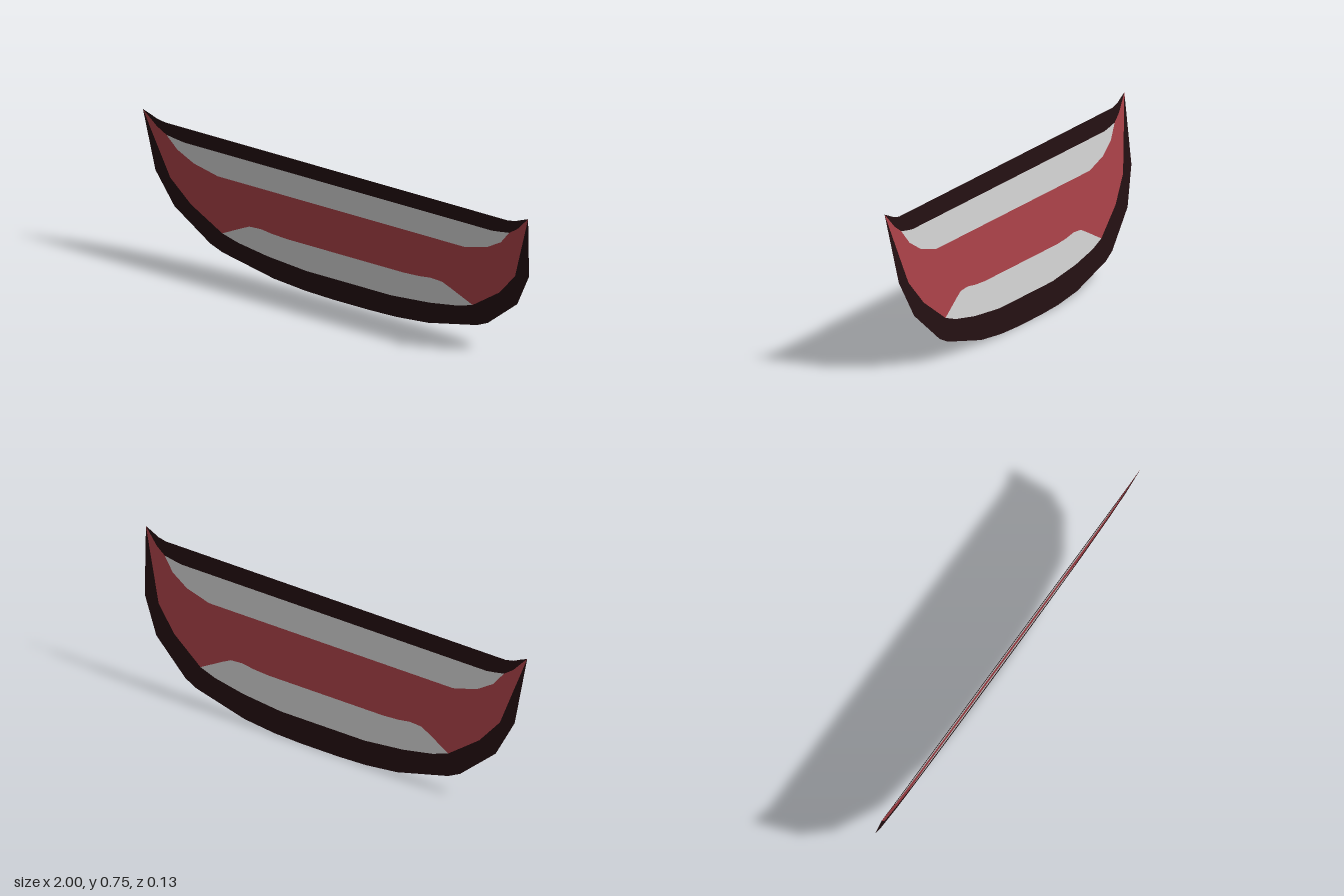
import * as THREE from 'three';

const HEIGHT = 0.75, LEAN = 0.131; // the flat panel leans forward towards the top

// Right-hand edges, each running from the centre line outwards
const tip = [1, 0.75];
const topRim = [[0.89, 0.711], [0.93, 0.719], [0.965, 0.735]];
const topInner = [[0.8, 0.63], [0.84, 0.636], [0.89, 0.645]];
const topInnerTip = [0.935, 0.677];
const upperEdge = [[0.64, 0.497], [0.76, 0.53], [0.84, 0.58]];
const lowerEdge = [[0.3, 0.26], [0.38, 0.265], [0.44, 0.274], [0.5, 0.27], [0.54, 0.25]];
const bottomInner = [[0.22, 0.115], [0.42, 0.135], [0.57, 0.163], [0.65, 0.19]];
const bottomInnerTip = [[0.8, 0.3], [0.895, 0.415]];
const bottomRim = [[0.1, 0], [0.24, 0.005], [0.4, 0.022], [0.66, 0.086], [0.72, 0.115],
  [0.89, 0.265], [0.97, 0.435]];

// Mirrors a right-hand run of points (lower edge outwards, upper edge inwards) into a leaning panel
function panel(name, half, color) {
  const mirrored = half.map(([x, y]) => [-x, y]).reverse();
  const points = [...half, ...mirrored].map(([x, y]) => new THREE.Vector2(x, y));
  const geometry = new THREE.ShapeGeometry(new THREE.Shape(points));
  const pos = geometry.attributes.position;
  for (let i = 0; i < pos.count; i++) {
    pos.setZ(i, (pos.getY(i) / HEIGHT - 0.5) * LEAN);
  }
  geometry.computeVertexNormals();
  const material = new THREE.MeshStandardMaterial({ color, side: THREE.DoubleSide });
  const mesh = new THREE.Mesh(geometry, material);
  mesh.name = name;
  return mesh;
}

export function createModel() {
  const group = new THREE.Group();
  group.name = 'mouth';
  const back = (list) => [...list].reverse();
  const corner = topInner[2], lowerCorner = bottomInner[3];
  const dark = 0x220e10, red = 0xa53f45, grey = 0xcccccc;

  group.add(
    // Dark outline above and below the opening
    panel('upperLip', [...topInner, topInnerTip, tip, ...back(topRim)], dark),
    panel('lowerLip', [...bottomRim, tip, ...back(bottomInnerTip), ...back(bottomInner)], dark),
    // Rows of teeth
    panel('upperTeeth', [...upperEdge, corner, ...back(topInner.slice(0, 2))], grey),
    panel('lowerTeeth', [...bottomInner, ...back(lowerEdge)], grey),
    // Red interior between the teeth, reaching out to both tips
    panel('mouthInterior', [...lowerEdge, lowerCorner, ...bottomInnerTip, tip, topInnerTip,
      corner, ...back(upperEdge)], red),
  );
  return group;
}
